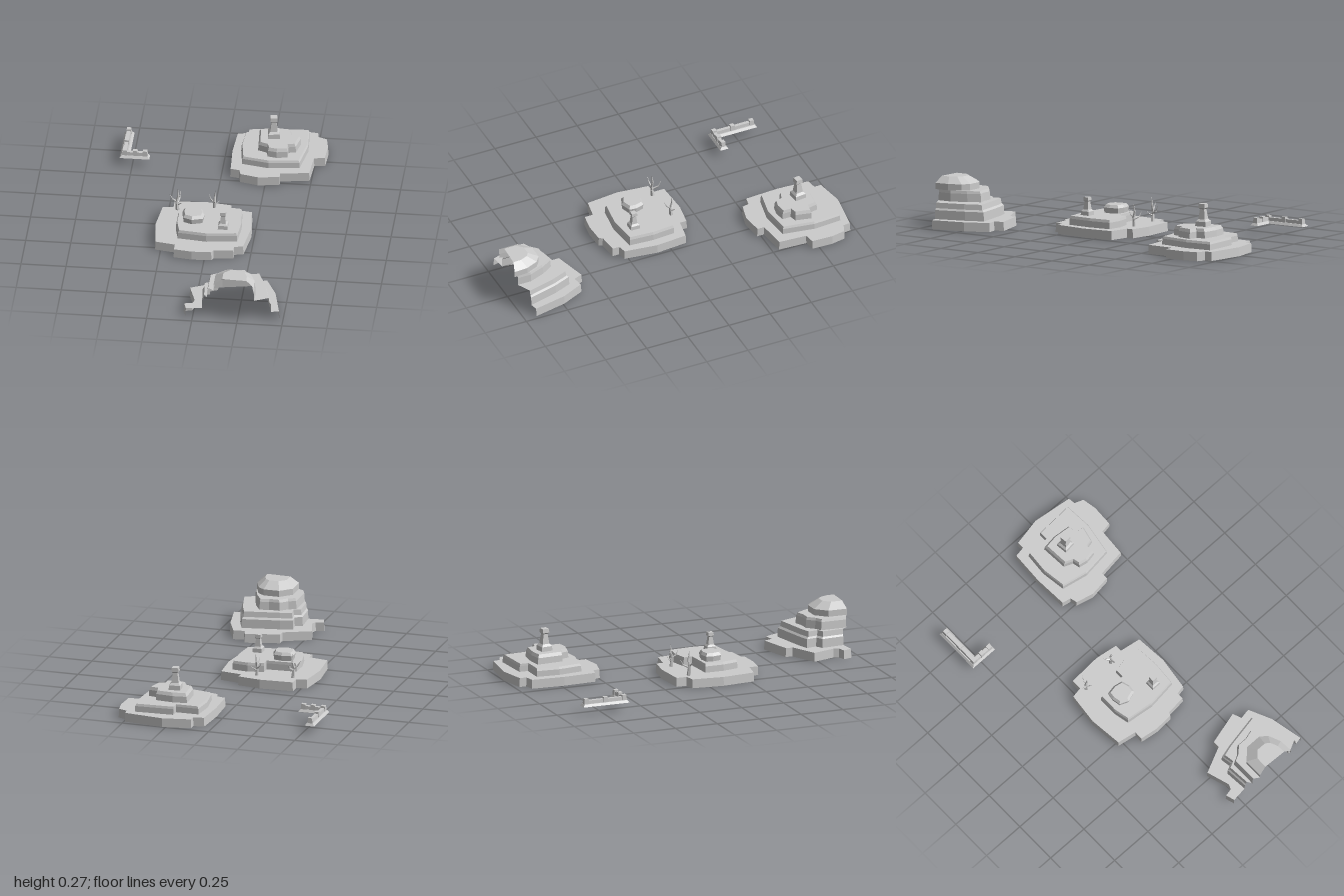
import * as THREE from 'three';

const mat = new THREE.MeshStandardMaterial({ color: 0xcccccc, flatShading: true, side: THREE.DoubleSide });

function add(parent, name, geometry) {
  const mesh = new THREE.Mesh(geometry, mat);
  mesh.name = name;
  parent.add(mesh);
  return mesh;
}

// Outlines are x, z pairs in hundredths, running clockwise seen from above
function points(list) {
  const out = [];
  for (let i = 0; i < list.length; i += 2) out.push(new THREE.Vector2(list[i] / 100, list[i + 1] / 100));
  return out;
}

function scaled(pts, s, c) {
  return pts.map(p => p.clone().sub(c).multiplyScalar(s).add(c));
}

// Rock wall between stacked rings [{ pts, y }]
function wall(rings, closed) {
  const v = [];
  for (let r = 0; r < rings.length - 1; r++) {
    const lo = rings[r], hi = rings[r + 1], n = lo.pts.length;
    for (let i = 0; i < (closed ? n : n - 1); i++) {
      const j = (i + 1) % n;
      const a = [lo.pts[i].x, lo.y, lo.pts[i].y], b = [lo.pts[j].x, lo.y, lo.pts[j].y];
      const c = [hi.pts[j].x, hi.y, hi.pts[j].y], d = [hi.pts[i].x, hi.y, hi.pts[i].y];
      v.push(...a, ...d, ...c, ...a, ...c, ...b);
    }
  }
  const g = new THREE.BufferGeometry();
  g.setAttribute('position', new THREE.Float32BufferAttribute(v, 3));
  g.computeVertexNormals();
  return g;
}

// Flat ledge from one outline in to the next, or a full cap
function ledge(outer, inner, y, closed) {
  const flip = list => list.map(p => new THREE.Vector2(p.x, -p.y));
  let shape;
  if (inner && !closed) shape = new THREE.Shape(flip([...outer, ...inner.slice().reverse()]));
  else {
    shape = new THREE.Shape(flip(outer));
    if (inner) shape.holes.push(new THREE.Path(flip(inner)));
  }
  return new THREE.ShapeGeometry(shape).rotateX(-Math.PI / 2).translate(0, y, 0);
}

// Hollow stepped rock; each tier is { pts, steps: [[y, scale], ...] }
function terrace(name, tiers, closed = true, centre = null) {
  const g = new THREE.Group();
  g.name = name;
  const built = tiers.map(t => {
    const pts = points(t.pts);
    const c = centre || pts.reduce((s, p) => s.add(p), new THREE.Vector2()).divideScalar(pts.length);
    return t.steps.map(([y, s]) => ({ pts: scaled(pts, s, c), y }));
  });
  built.forEach((rings, i) => {
    const top = rings[rings.length - 1];
    add(g, 'rockWall', wall(rings, closed));
    add(g, 'rockLedge', ledge(top.pts, built[i + 1] && built[i + 1][0].pts, top.y, closed));
  });
  return g;
}

// Square stone pillar with wide foot and flared head
function pillar(x, y, z, height, halfWidth, turn) {
  const prof = [[1, 0], [0.95, 0.22], [0.62, 0.32], [0.4, 0.76], [0.62, 0.82], [0.55, 1], [0, 1]];
  const g = new THREE.LatheGeometry(prof.map(([r, h]) => new THREE.Vector2(r * halfWidth * 1.41, h * height)), 4);
  const m = new THREE.Mesh(g.rotateY(Math.PI / 4 + turn), mat);
  m.name = 'pillar';
  m.position.set(x, y, z);
  return m;
}

// Bare tree made of tapered limbs
function tree(x, z, turn, size) {
  const g = new THREE.Group();
  g.name = 'deadTree';
  const limbs = [
    [0, 0, 0, -0.005, 0.055, 0.003, 0.012, 0.008],
    [-0.005, 0.055, 0.003, 0.004, 0.09, 0, 0.008, 0.006],
    [0.004, 0.09, 0, 0.002, 0.135, 0.005, 0.006, 0.001],
    [-0.005, 0.055, 0.003, -0.026, 0.07, 0.008, 0.006, 0.004],
    [-0.026, 0.07, 0.008, -0.042, 0.098, 0.01, 0.004, 0.001],
    [0, 0.045, 0, 0.01, 0.06, -0.03, 0.006, 0.004],
    [0.01, 0.06, -0.03, 0.012, 0.09, -0.045, 0.004, 0.001],
    [0, 0.03, 0, 0.024, 0.055, 0.022, 0.005, 0.001]
  ];
  for (const [ax, ay, az, bx, by, bz, r0, r1] of limbs) {
    const a = new THREE.Vector3(ax, ay, az), d = new THREE.Vector3(bx, by, bz).sub(a);
    const m = add(g, 'limb', new THREE.CylinderGeometry(r1, r0, d.length(), 5));
    m.position.copy(a).addScaledVector(d, 0.5);
    m.quaternion.setFromUnitVectors(new THREE.Vector3(0, 1, 0), d.normalize());
  }
  g.position.set(x, 0.05, z);
  g.rotation.y = turn;
  g.scale.setScalar(size);
  return g;
}

// Box whose upper edges are drawn in by t
function taperedBox(x0, x1, y0, y1, z0, z1, t) {
  const g = new THREE.BoxGeometry(x1 - x0, y1 - y0, z1 - z0);
  const p = g.attributes.position;
  for (let i = 0; i < p.count; i++) {
    if (p.getY(i) > 0) {
      p.setX(i, p.getX(i) - Math.sign(p.getX(i)) * t);
      p.setZ(i, p.getZ(i) - Math.sign(p.getZ(i)) * t);
    }
  }
  g.computeVertexNormals();
  return g.translate((x0 + x1) / 2, (y0 + y1) / 2, (z0 + z1) / 2);
}

// L-shaped low wall with posts
function cornerWall() {
  const g = new THREE.Group();
  g.name = 'cornerWall';
  add(g, 'wallFoot', taperedBox(-0.57, -0.515, 0.047, 0.06, -0.87, -0.595, 0.01));
  add(g, 'wallFoot', taperedBox(-0.57, -0.405, 0.047, 0.06, -0.645, -0.595, 0.01));
  add(g, 'wallRail', taperedBox(-0.554, -0.531, 0.06, 0.079, -0.855, -0.61, 0.002));
  add(g, 'wallRail', taperedBox(-0.554, -0.415, 0.06, 0.079, -0.631, -0.608, 0.002));
  for (const [x, z] of [[-0.543, -0.845], [-0.543, -0.73], [-0.543, -0.62], [-0.485, -0.62], [-0.43, -0.62]])
    add(g, 'wallPost', taperedBox(x - 0.014, x + 0.014, 0.06, 0.089, z - 0.014, z + 0.014, 0.002));
  return g;
}

export function createModel() {
  const model = new THREE.Group();
  model.name = 'rockTerraces';

  // Back island
  model.add(terrace('backIsland', [
    { pts: [11, -97, 27, -100, 49.5, -97, 50, -93, 55, -91, 56.5, -83, 56, -71, 50, -70, 49, -54, 33, -52, 33, -48,
      21, -46.5, 11, -49, 10, -53, 5, -54, 4, -73, 5, -92, 11, -93], steps: [[0, 1], [0.05, 0.99]] },
    { pts: [10, -87, 23, -87, 23, -92, 45, -93, 46, -77, 43, -59, 26, -57, 11, -60, 9, -74],
      steps: [[0.05, 1], [0.082, 0.99], [0.095, 0.96]] },
    { pts: [18, -83, 26, -84, 36, -83, 37, -78, 42, -77, 40, -68, 36, -67, 36, -62, 30, -61, 25, -62, 24, -66, 19, -68],
      steps: [[0.095, 1], [0.13, 0.98], [0.148, 0.9]] }
  ]));
  model.add(pillar(0.27, 0.146, -0.755, 0.126, 0.033, 0.12));

  // Middle island
  model.add(terrace('middleIsland', [
    { pts: [-22, -17, -3, -18, 10, -16, 10, -12, 22, -10, 23.5, 8, 21, 27, 16, 28, 16, 32, 5, 33, 4, 35,
      -7, 35.5, -17, 34, -17, 29, -28, 27, -30, 8, -28, -10, -22, -11], steps: [[0, 1], [0.05, 0.99]] },
    { pts: [-18, 2, -1, 1, -1, -4, 8, -6, 17, -5, 18, 8, 17, 22, 0, 24, -16, 22, -18, 13],
      steps: [[0.05, 1], [0.085, 0.99], [0.1, 0.96]] },
    { pts: [-14.5, 4, -9, 3, -4, 4, -2.5, 9, -3, 13, -9, 15, -14, 13, -15, 8],
      steps: [[0.1, 0.93], [0.13, 1], [0.146, 0.8]] }
  ]));
  model.add(pillar(0.085, 0.1, 0.158, 0.1, 0.027, 0));
  model.add(tree(-0.193, -0.085, 0, 1), tree(0.01, -0.105, 1.2, 0.92));

  // Front cave: half an island, open towards the front
  model.add(terrace('frontCave', [
    { pts: [-4, 95, -5.5, 90, -1, 89, 0, 86, -4, 73, 11, 66, 11, 62, 30, 57, 32, 62, 38, 61, 44, 74, 48, 93],
      steps: [[0, 1], [0.05, 0.99]] },
    { pts: [5, 94, 4, 81, 8, 79, 7, 73, 14, 71, 35, 67, 39, 77, 43.5, 94],
      steps: [[0.05, 1], [0.1, 0.99], [0.11, 0.95], [0.14, 0.93]] },
    { pts: [8, 97, 8, 82, 12, 80, 16, 76, 22, 76, 27, 74.5, 31, 81, 34.5, 90, 34.5, 98],
      steps: [[0.14, 1], [0.185, 0.98], [0.2, 0.95]] },
    { pts: [12, 99, 12, 88, 15, 85, 18, 82, 27, 82, 31, 85, 34, 92, 34.5, 100],
      steps: [[0.2, 1], [0.235, 1], [0.27, 0.6]] }
  ], false, new THREE.Vector2(0.24, 0.97)));

  model.add(cornerWall());
  return model;
}
